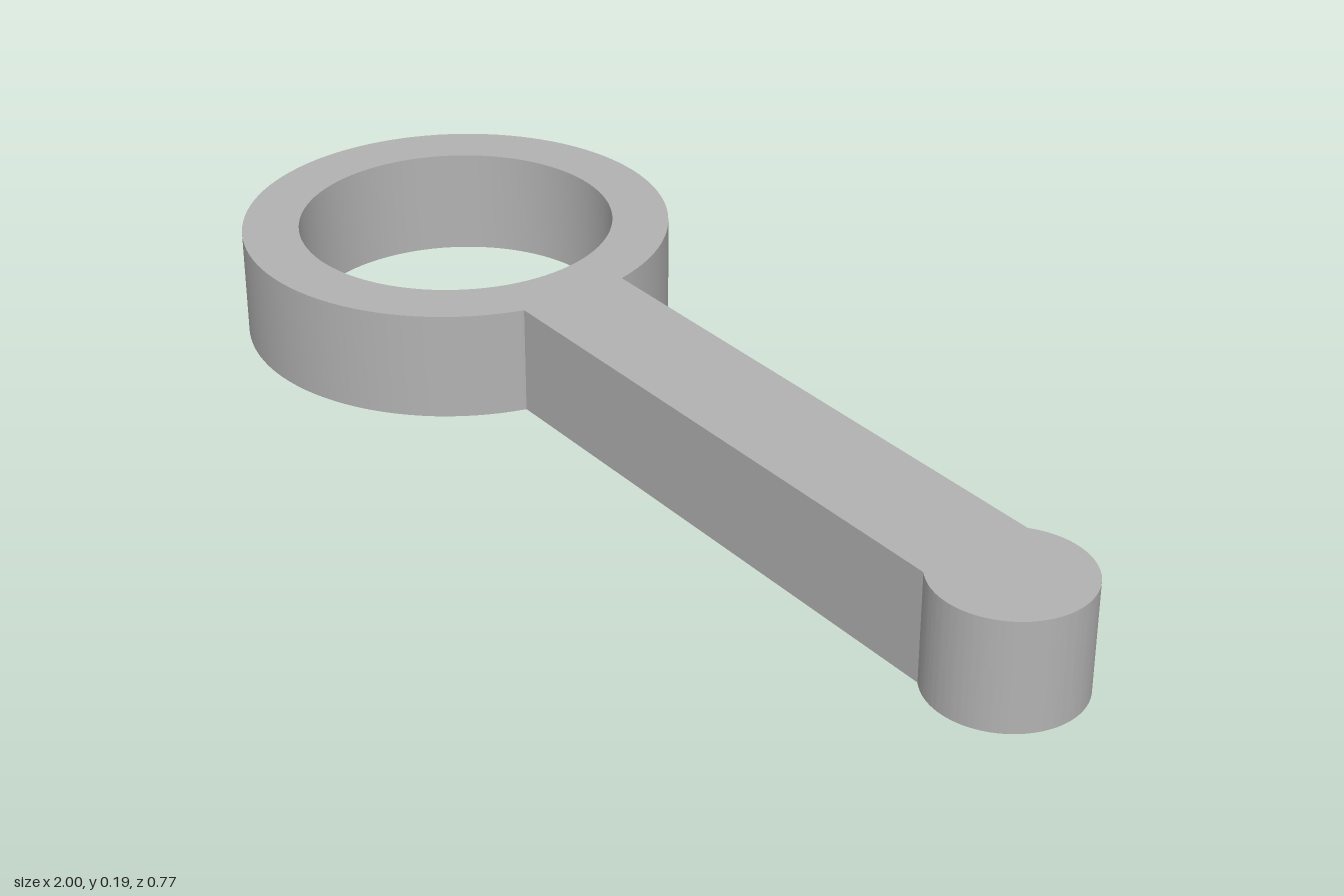
import * as THREE from 'three';
import { toCreasedNormals } from 'three/addons/utils/BufferGeometryUtils.js';

const HEIGHT = 0.194;
const RING = { x: -0.613, outer: 0.387, inner: 0.285 };
const TIP = { x: 0.871, radius: 0.129 };
const ARM_HALF_WIDTH = 0.103;

export function createModel() {
  const group = new THREE.Group();
  group.name = 'ringLever';

  const grey = new THREE.MeshStandardMaterial({ color: 0xb2b2b2 });
  grey.name = 'grey';

  // Outline: ring, straight arm and round tip in one closed loop
  const ringAngle = Math.asin(ARM_HALF_WIDTH / RING.outer);
  const tipAngle = Math.PI - Math.asin(ARM_HALF_WIDTH / TIP.radius);
  const outline = new THREE.Shape();
  outline.absarc(RING.x, 0, RING.outer, ringAngle, 2 * Math.PI - ringAngle, false);
  outline.absarc(TIP.x, 0, TIP.radius, -tipAngle, tipAngle, false);
  outline.closePath();

  // Round opening through the ring
  const hole = new THREE.Path();
  hole.absarc(RING.x, 0, RING.inner, 0, 2 * Math.PI, true);
  outline.holes.push(hole);

  // Extrude upwards, smooth around the curves and sharp at the edges
  const solid = new THREE.ExtrudeGeometry(outline, {
    depth: HEIGHT, bevelEnabled: false, curveSegments: 48,
  });
  solid.rotateX(-Math.PI / 2);

  const lever = new THREE.Mesh(toCreasedNormals(solid, Math.PI / 7), grey);
  lever.name = 'ringWithArmAndTip';
  group.add(lever);

  return group;
}
